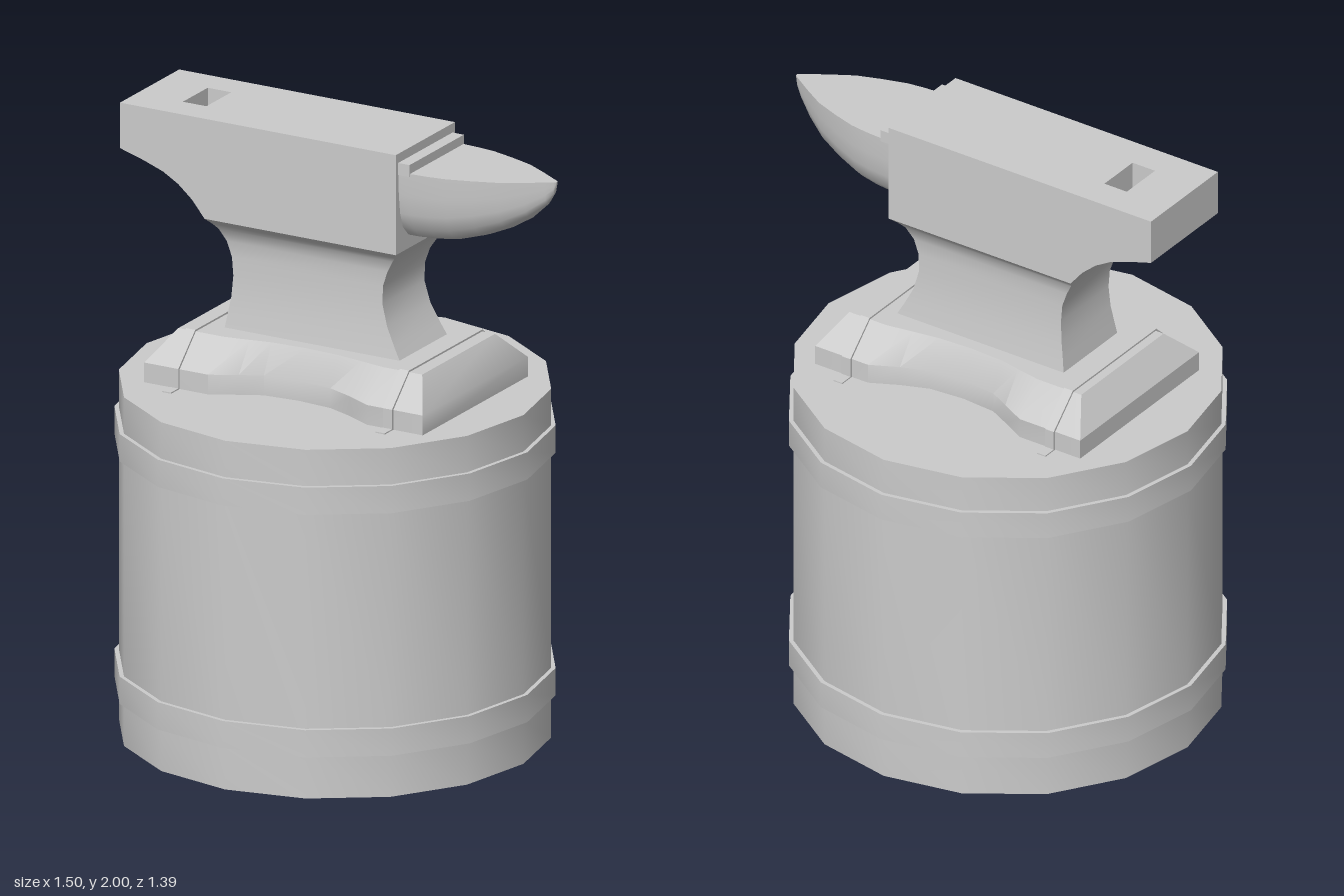
import * as THREE from 'three';
import { toCreasedNormals } from 'three/addons/utils/BufferGeometryUtils.js';

const CREASE = 0.6;
const STUMP_X = -0.056;

function addMesh(parent, name, geometry, side = THREE.FrontSide) {
  const material = new THREE.MeshStandardMaterial({ color: 0xcccccc, side });
  const mesh = new THREE.Mesh(toCreasedNormals(geometry, CREASE), material);
  mesh.name = name;
  parent.add(mesh);
  return mesh;
}

// Skin a stack of matching rings (counter-clockwise seen from the end) and cap both ends.
function loft(rings) {
  const pos = [];
  const tri = (...pts) => pts.forEach((p) => pos.push(...p));
  const n = rings[0].length;
  const centre = (ring) => [0, 1, 2].map((k) => ring.reduce((s, p) => s + p[k], 0) / n);
  const first = rings[0], last = rings[rings.length - 1];
  const c0 = centre(first), c1 = centre(last);
  for (let j = 0; j < n; j++) {
    const k = (j + 1) % n;
    for (let i = 0; i < rings.length - 1; i++) {
      const a = rings[i], b = rings[i + 1];
      tri(a[j], a[k], b[k]);
      tri(a[j], b[k], b[j]);
    }
    tri(c0, first[k], first[j]);
    tri(c1, last[j], last[k]);
  }
  const g = new THREE.BufferGeometry();
  g.setAttribute('position', new THREE.Float32BufferAttribute(pos, 3));
  return g;
}

const shapeOf = (pts) => new THREE.Shape(pts.map(([x, y]) => new THREE.Vector2(x, y)));
const extrude = (shape, depth) => new THREE.ExtrudeGeometry(shape, { depth, bevelEnabled: false });

function addStump(group) {
  // Hollow 16-sided stump, open below, with two raised bands in its wall
  const r = 0.68, band = 0.694;
  const profile = [[r, 0]];
  for (const [y0, y1] of [[0.14, 0.23], [0.94, 1.03]]) {
    profile.push([r, y0], [band, y0], [band, y1], [r, y1]);
  }
  profile.push([r, 1.15], [0, 1.15]);
  const geometry = new THREE.LatheGeometry(profile.map(([x, y]) => new THREE.Vector2(x, y)), 16);
  addMesh(group, 'stump', geometry, THREE.DoubleSide).position.x = STUMP_X;
}

function addBase(anvil) {
  // Chamfered foot with a scooped middle on both long sides
  const outer = [[0.45, 0.325], [0.25, 0.325], [0.16, 0.28], [0.07, 0.245], [-0.05, 0.235],
    [-0.17, 0.245], [-0.24, 0.28], [-0.325, 0.325], [-0.555, 0.325]];
  const inner = [[0.39, 0.225], [0.25, 0.225], [0.16, 0.21], [0.07, 0.196], [-0.05, 0.19],
    [-0.17, 0.196], [-0.24, 0.21], [-0.325, 0.225], [-0.49, 0.225]];
  const ring = (pts, y) => [
    ...pts.map(([x, z]) => [x, y, -z]),
    ...[...pts].reverse().map(([x, z]) => [x, y, z]),
  ];
  addMesh(anvil, 'base', loft([ring(outer, 1.15), ring(outer, 1.215), ring(inner, 1.31)]));

  // Thin straps folded over the base, with small tabs on the stump
  const half = [[0.378, 1.15], [0.378, 1.154], [0.333, 1.154], [0.333, 1.218], [0.228, 1.316]];
  const outline = [...half, ...[...half].reverse().map(([z, y]) => [-z, y])];
  for (const [name, x] of [['leftStrap', 0.311], ['rightStrap', -0.46]]) {
    const g = extrude(shapeOf(outline), 0.033).rotateY(Math.PI / 2).translate(x, 0, 0);
    addMesh(anvil, name, g);
  }
}

function addWaist(anvil) {
  // y, right x, left x, half depth
  const sections = [
    [1.30, -0.37, 0.268, 0.148], [1.35, -0.362, 0.24, 0.141], [1.41, -0.352, 0.21, 0.134],
    [1.48, -0.347, 0.191, 0.13], [1.54, -0.352, 0.193, 0.13], [1.59, -0.37, 0.21, 0.131],
    [1.63, -0.393, 0.235, 0.142], [1.65, -0.406, 0.252, 0.16], [1.67, -0.42, 0.27, 0.183],
  ];
  addMesh(anvil, 'waist', loft(sections.map(([y, x0, x1, z]) =>
    [[x1, y, z], [x1, y, -z], [x0, y, -z], [x0, y, z]])));
}

function addBody(anvil) {
  const x0 = -0.725, x1 = 0.27, z = 0.183;

  // Face slab with the square tool hole
  const slab = shapeOf([[x0, -z], [x1, -z], [x1, z], [x0, z]]);
  slab.holes.push(new THREE.Path([[-0.56, -0.077], [-0.56, 0.077], [-0.475, 0.077], [-0.475, -0.077]]
    .map(([x, y]) => new THREE.Vector2(x, y))));
  addMesh(anvil, 'face', extrude(slab, 0.15).rotateX(-Math.PI / 2).translate(0, 1.85, 0));

  // Body below the face, curving out under the heel
  const heel = shapeOf([[x0, 1.85], [-0.64, 1.825], [-0.57, 1.80], [-0.515, 1.768],
    [-0.465, 1.725], [-0.42, 1.67], [x1, 1.67], [x1, 1.85]]);
  addMesh(anvil, 'body', extrude(heel, 2 * z).translate(0, 0, -z));
}

function addHorn(anvil) {
  // Flat-topped horn: x, half width, underside height
  const top = 1.94;
  const sections = [[0.26, 0.168, 1.69], [0.31, 0.166, 1.69], [0.37, 0.162, 1.694],
    [0.43, 0.154, 1.704], [0.51, 0.13, 1.729], [0.59, 0.101, 1.765],
    [0.66, 0.06, 1.809], [0.715, 0.025, 1.862], [0.738, 0.01, 1.9], [0.745, 0.004, 1.932]];
  const side = [[1, 0], [0.98, 0.3], [0.93, 0.56], [0.83, 0.76], [0.62, 0.9], [0.32, 0.965]];
  const section = [...side, [0, 1], ...[...side].reverse().map(([w, d]) => [-w, d])];
  addMesh(anvil, 'horn', loft(sections.map(([x, half, low]) =>
    section.map(([w, d]) => [x, top - d * (top - low), w * half]))));

  // Step between face and horn
  addMesh(anvil, 'step', new THREE.BoxGeometry(0.05, 0.04, 0.336).translate(0.286, 1.95, 0));
}

export function createModel() {
  const group = new THREE.Group();
  group.name = 'anvilOnStump';
  addStump(group);

  const anvil = new THREE.Group();
  anvil.name = 'anvil';
  group.add(anvil);
  addBase(anvil);
  addWaist(anvil);
  addBody(anvil);
  addHorn(anvil);
  return group;
}
